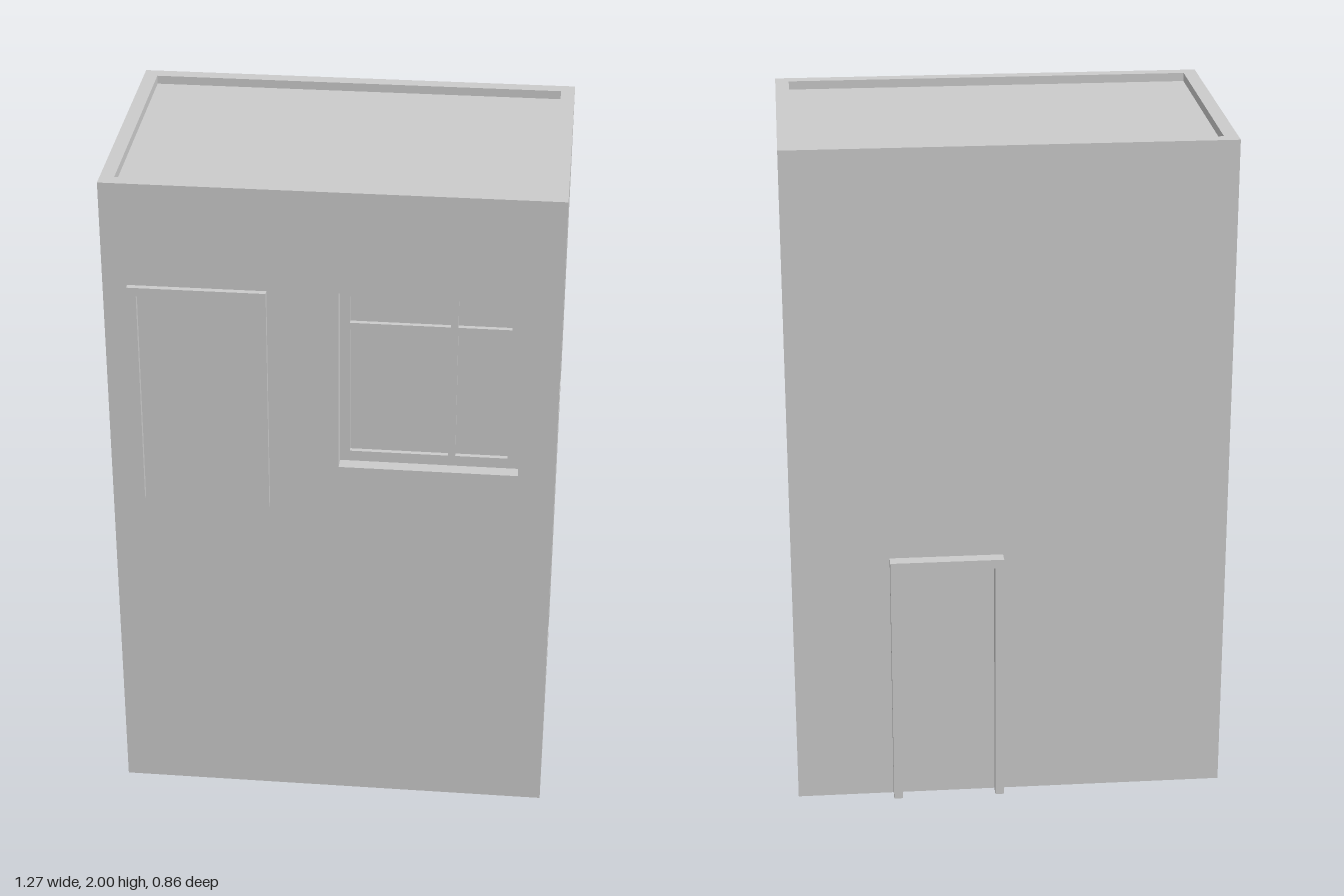
import * as THREE from 'three';

const X = 0.635, FRONT = 0.41, BACK = -0.39, H = 2, T = 0.04;
const ROOF = 1.975, FRAME = 0.014;

const material = new THREE.MeshStandardMaterial({ color: 0xcccccc });

function add(parent, name, geometry, x = 0, y = 0, z = 0) {
  const mesh = new THREE.Mesh(geometry, material);
  mesh.name = name;
  mesh.position.set(x, y, z);
  parent.add(mesh);
  return mesh;
}

function box(parent, name, x0, x1, y0, y1, z0, z1) {
  return add(parent, name, new THREE.BoxGeometry(x1 - x0, y1 - y0, z1 - z0),
    (x0 + x1) / 2, (y0 + y1) / 2, (z0 + z1) / 2);
}

// Upright plate with rectangular openings; rectangles are [x0, x1, y0, y1]
function plate([x0, x1, y0, y1], holes, depth) {
  const corners = (a, b, c, d) => [[a, c], [b, c], [b, d], [a, d]].map(p => new THREE.Vector2(...p));
  const shape = new THREE.Shape(corners(x0, x1, y0, y1));
  for (const h of holes) shape.holes.push(new THREE.Path(corners(...h).reverse()));
  return new THREE.ExtrudeGeometry(shape, { depth, bevelEnabled: false });
}

// Wall whose inner face is at local z = 0, with each window set behind its opening
function windowWall(name, outline, windows) {
  const group = new THREE.Group();
  group.name = name;
  add(group, name + 'Panel', plate(outline, windows.map(w => w.opening), T));
  for (const { opening, columns, rows } of windows) {
    const panes = columns.flatMap(c => rows.map(r => [...c, ...r]));
    add(group, 'windowFrame', plate(opening, panes, FRAME), 0, 0, -FRAME);
    const [x0, x1, y0, y1] = opening;
    box(group, 'windowPanes', x0, x1, y0, y1, -FRAME - 0.02, -FRAME);
  }
  return group;
}

// Three-sided door surround with slightly slanted feet
function doorSurround(parent, name, x0, x1, y0, y1, z, depth, slant) {
  const w = 0.026;
  const shape = new THREE.Shape([
    [x0, y0], [x0 + w, y0 + slant], [x0 + w, y1 - w], [x1 - w, y1 - w],
    [x1 - w, y0 + slant], [x1, y0], [x1, y1], [x0, y1],
  ].map(p => new THREE.Vector2(...p)));
  add(parent, name, new THREE.ExtrudeGeometry(shape, { depth, bevelEnabled: false }), 0, 0, z);
}

export function createModel() {
  const model = new THREE.Group();
  model.name = 'house';

  // Front wall with one wide window
  const front = windowWall('frontWall', [-X, X, 0, H], [{
    opening: [0.02, 0.53, 1.143, 1.697],
    columns: [[0.048, 0.328], [0.349, 0.498]],
    rows: [[1.175, 1.566], [1.587, 1.669]],
  }]);
  front.position.z = FRONT - T;
  model.add(front);

  // Side wall with two stacked windows
  const side = { columns: [[-0.145, -0.016], [0.005, 0.138]] };
  const left = windowWall('leftWall', [-FRONT + T, -BACK - T, 0, H], [
    { ...side, opening: [-0.175, 0.17, 1.143, 1.697], rows: [[1.175, 1.545], [1.571, 1.672]] },
    { ...side, opening: [-0.175, 0.17, 0.249, 0.783], rows: [[0.283, 0.64], [0.669, 0.759]] },
  ]);
  left.rotation.y = Math.PI / 2;
  left.position.x = X - T;
  model.add(left);

  // Plain walls, floor and sunken flat roof
  box(model, 'backWall', -X, X, 0, H, BACK, BACK + T);
  box(model, 'rightWall', -X, -X + T, 0, H, BACK + T, FRONT - T);
  box(model, 'floor', -X + T, X - T, 0, 0.04, BACK + T, FRONT - T);
  box(model, 'roof', -X + T, X - T, ROOF - 0.04, ROOF, BACK + T, FRONT - T);

  // Door surrounds, upper front and ground-level back
  doorSurround(model, 'frontDoorSurround', -0.566, -0.179, 1.003, 1.694, FRONT, 0.017, 0.012);
  doorSurround(model, 'backDoorSurround', 0.02, 0.35, 0, 0.774, BACK - 0.038, 0.038, 0);

  return model;
}
